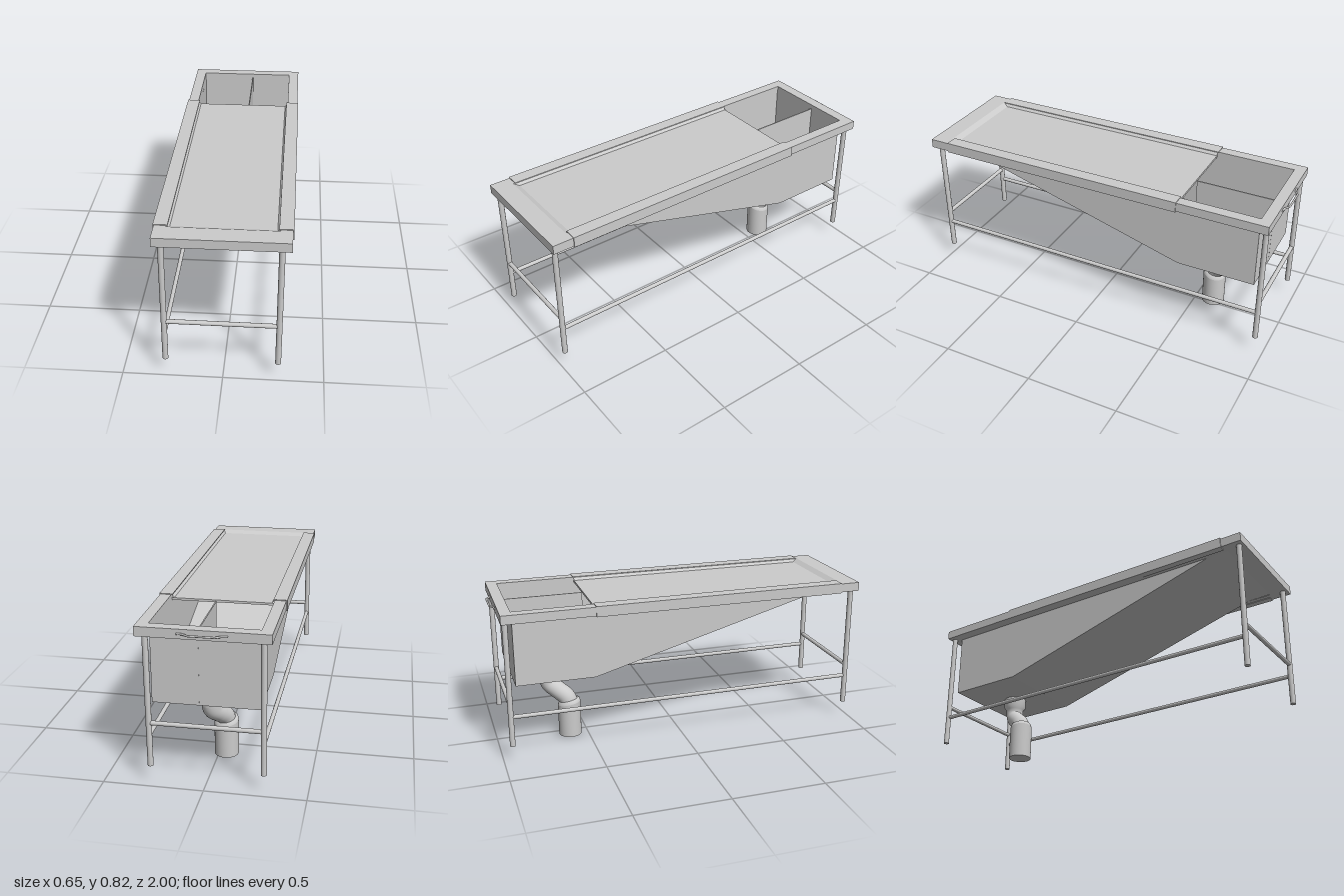
import * as THREE from 'three';

const mat = new THREE.MeshStandardMaterial({ color: 0xcccccc, side: THREE.DoubleSide });

function add(parent, name, geometry, x = 0, y = 0, z = 0) {
  const mesh = new THREE.Mesh(geometry, mat);
  mesh.name = name;
  mesh.position.set(x, y, z);
  parent.add(mesh);
  return mesh;
}

// Round bar between two points
function bar(parent, name, a, b, radius) {
  const p = new THREE.Vector3(...a), q = new THREE.Vector3(...b);
  const mesh = add(parent, name, new THREE.CylinderGeometry(radius, radius, p.distanceTo(q), 20));
  mesh.position.copy(p).lerp(q, 0.5);
  mesh.quaternion.setFromUnitVectors(new THREE.Vector3(0, 1, 0), q.sub(p).normalize());
}

// Flat-shaded sheet from a list of four-cornered panels
function sheet(panels) {
  const pos = panels.flatMap(([a, b, c, d]) => [a, b, c, a, c, d]).flat();
  const g = new THREE.BufferGeometry();
  g.setAttribute('position', new THREE.Float32BufferAttribute(pos, 3));
  g.computeVertexNormals();
  return g;
}

// Rectangle outline; the shape's y is -z once laid flat
const rect = (x0, x1, z0, z1) =>
  [[x0, -z0], [x1, -z0], [x1, -z1], [x0, -z1]].map(p => new THREE.Vector2(...p));

const lathe = (pts, n = 40) => new THREE.LatheGeometry(pts.map(p => new THREE.Vector2(...p)), n);

export function createModel() {
  const root = new THREE.Group();
  root.name = 'slopedWashTable';

  // Rim around the top
  const rimShape = new THREE.Shape(rect(-0.322, 0.322, -0.973, 1));
  rimShape.holes.push(new THREE.Path(rect(-0.265, 0.265, -0.915, 0.9)));
  const rim = new THREE.ExtrudeGeometry(rimShape, { depth: 0.048, bevelEnabled: false });
  rim.rotateX(-Math.PI / 2);
  add(root, 'rim', rim, 0, 0.765, 0);

  // Shallow tray with sloping edges
  const outer = [[-0.265, 0.813, -0.485], [0.265, 0.813, -0.485], [0.265, 0.813, 0.9], [-0.265, 0.813, 0.9]];
  const inner = [[-0.25, 0.797, -0.485], [0.25, 0.797, -0.485], [0.25, 0.797, 0.87], [-0.25, 0.797, 0.87]];
  add(root, 'tray', sheet([
    [inner[3], inner[2], inner[1], inner[0]],
    ...[1, 2, 3].map(i => [outer[i], inner[i], inner[(i + 1) % 4], outer[(i + 1) % 4]]),
  ]));
  add(root, 'trayLip', new THREE.BoxGeometry(0.526, 0.012, 0.006), 0, 0.79, -0.482);

  // Folded caps clipped over the long edges of the rim
  for (const s of [-1, 1]) {
    const profile = [[0.258, 0.813], [0.258, 0.817], [0.327, 0.817], [0.327, 0.761], [0.29, 0.761],
      [0.29, 0.765], [0.322, 0.765], [0.322, 0.813]];
    const cap = new THREE.ExtrudeGeometry(
      new THREE.Shape(profile.map(([x, y]) => new THREE.Vector2(s * x, y))),
      { depth: 1.38, bevelEnabled: false });
    add(root, s > 0 ? 'leftEdgeCap' : 'rightEdgeCap', cap, 0, 0, -0.49);
  }

  // Basin shell: wedge under the tray running into a deep sump
  const basin = new THREE.Group();
  basin.name = 'basin';
  root.add(basin);
  const w = 0.264, top = 0.768, floor = 0.41, back = -0.912;
  const side = [[0.9, top], [0.78, 0.765], [-0.49, floor], [back, floor], [back, top]];
  const sideGeo = new THREE.ShapeGeometry(new THREE.Shape(side.map(p => new THREE.Vector2(...p))));
  sideGeo.rotateY(-Math.PI / 2);
  add(basin, 'rightWall', sideGeo, -w);
  add(basin, 'leftWall', sideGeo, w);
  const strip = i => {
    const [[z0, y0], [z1, y1]] = [side[i], side[i + 1]];
    return [[-w, y0, z0], [-w, y1, z1], [w, y1, z1], [w, y0, z0]];
  };
  add(basin, 'slopedBottomAndBack', sheet([0, 1, 3].map(strip)));
  const drainX = 0.02, drainZ = -0.7;
  const floorShape = new THREE.Shape(rect(-w, w, back, -0.49));
  const hole = new THREE.Path();
  hole.absarc(drainX, -drainZ, 0.062, 0, Math.PI * 2);
  floorShape.holes.push(hole);
  const floorGeo = new THREE.ShapeGeometry(floorShape, 24);
  floorGeo.rotateX(-Math.PI / 2);
  add(basin, 'sumpFloor', floorGeo, 0, floor, 0);
  add(basin, 'divider', new THREE.BoxGeometry(0.006, 0.38, 0.425), 0.035, 0.6, -0.7);

  // Strainer dish with radial ribs
  const strainer = new THREE.Group();
  strainer.name = 'strainer';
  strainer.position.set(drainX, floor, drainZ);
  root.add(strainer);
  add(strainer, 'dish', lathe([[0.065, 0.001], [0.062, 0.004], [0.055, 0], [0.045, -0.02], [0.02, -0.028], [0, -0.028]]));
  for (let i = 0; i < 16; i++) {
    const rib = new THREE.BoxGeometry(0.035, 0.008, 0.003);
    rib.translate(0.038, -0.018, 0);
    add(strainer, 'rib', rib).rotation.y = i * Math.PI / 8;
  }
  add(strainer, 'innerRing', new THREE.TorusGeometry(0.021, 0.003, 8, 28), 0, -0.022, 0).rotation.x = Math.PI / 2;

  // Drain: collar, S-bend and wide outlet
  add(root, 'drainCollar', lathe([[0.0635, 0.41], [0.0635, 0.36], [0.05, 0.343], [0.05, 0.32]]), drainX, 0, drainZ);
  const bend = new THREE.CatmullRomCurve3([
    [drainX, 0.36, drainZ], [drainX, 0.325, drainZ], [0.014, 0.29, -0.69], [-0.01, 0.255, -0.65],
    [-0.032, 0.22, -0.61], [-0.038, 0.185, -0.597], [-0.038, 0.15, -0.597],
  ].map(p => new THREE.Vector3(...p)));
  add(root, 'drainBend', new THREE.TubeGeometry(bend, 40, 0.049, 32));
  const outlet = lathe([[0, 0], [0.0625, 0], [0.0625, 0], [0.0625, 0.185], [0.0625, 0.185], [0.057, 0.203], [0.045, 0.205]]);
  const p = outlet.attributes.position;
  for (let i = 0; i < p.count; i++) {
    // tilt the upper edge towards the bend
    if (p.getY(i) > 0.1) p.setY(i, p.getY(i) - 0.13 * p.getX(i) + 0.16 * p.getZ(i));
  }
  outlet.computeVertexNormals();
  add(root, 'drainOutlet', outlet, -0.038, 0, -0.597);

  // Frame: four legs, two end bars, two long bars
  const frame = new THREE.Group();
  frame.name = 'frame';
  root.add(frame);
  const xs = [-0.284, 0.274], zs = [0.972, -0.95];
  for (const x of xs) {
    for (const z of zs) bar(frame, 'leg', [x - 0.002, 0.088, z], [x + 0.002, 0.77, z], 0.0145);
    bar(frame, 'longBar', [x, 0.25, zs[0]], [x, 0.25, zs[1]], 0.011);
  }
  for (const z of zs) bar(frame, 'endBar', [xs[0], 0.317, z], [xs[1], 0.317, z], 0.0115);

  // Slim pull handle at the back
  const grip = new THREE.CurvePath();
  const path = [[-0.12, -0.975], [-0.09, -0.978], [-0.065, -0.996], [0.065, -0.996], [0.09, -0.978], [0.12, -0.975]]
    .map(([x, z]) => new THREE.Vector3(x, 0.791, z));
  for (let i = 1; i < path.length; i++) grip.add(new THREE.LineCurve3(path[i - 1], path[i]));
  add(root, 'backHandle', new THREE.TubeGeometry(grip, 60, 0.005, 10));

  return root;
}
